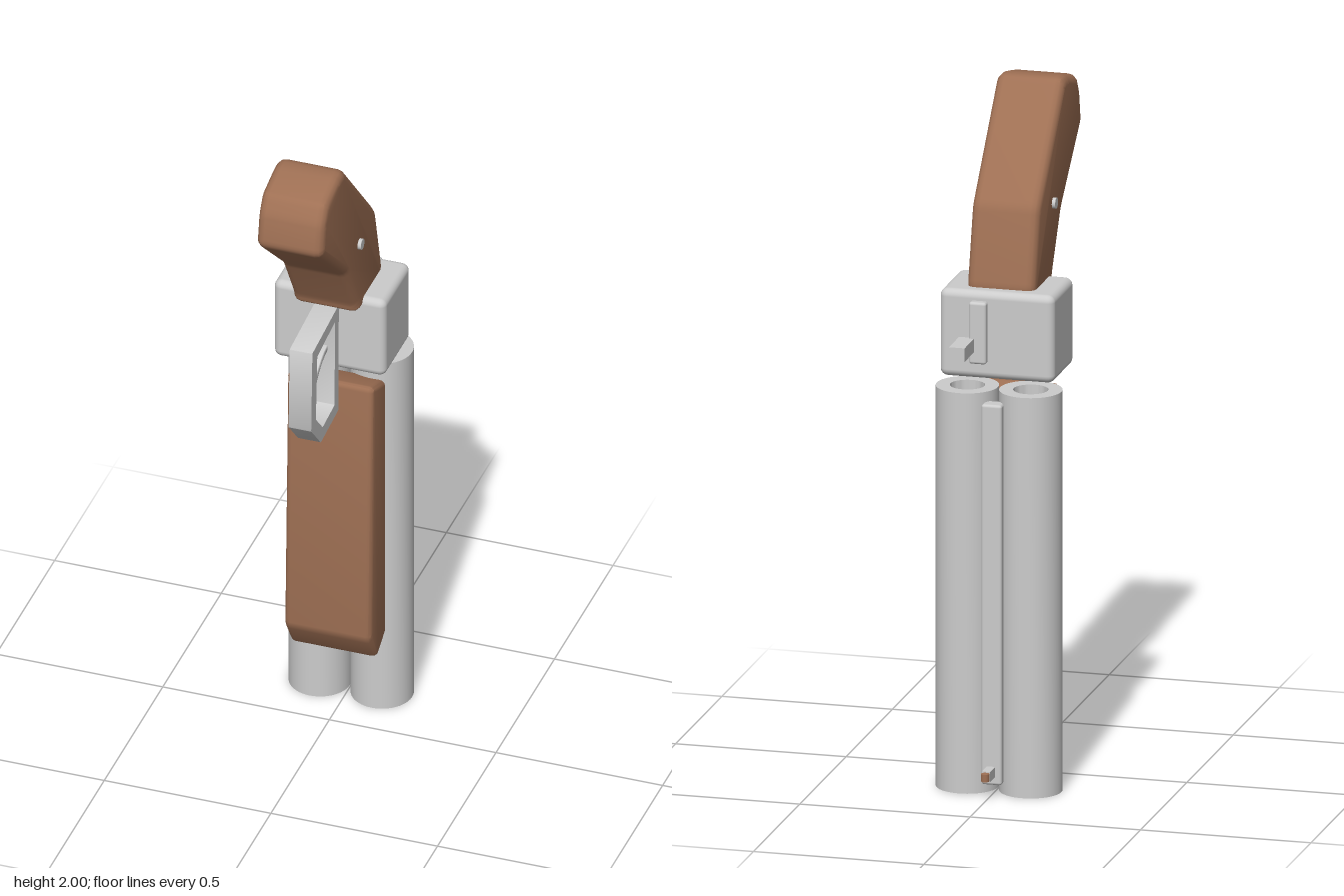
import * as THREE from 'three';
import { toCreasedNormals } from 'three/addons/utils/BufferGeometryUtils.js';
import { RoundedBoxGeometry } from 'three/addons/geometries/RoundedBoxGeometry.js';

const steel = new THREE.MeshStandardMaterial({ color: 0xcccccc });
steel.name = 'steel';
const wood = new THREE.MeshStandardMaterial({ color: 0x9f7054 });
wood.name = 'wood';

// Closed outline of [z, y] corners, each softened by a small curve
function trace(path, points, r) {
  const pts = points.map(([z, y]) => new THREE.Vector2(z, y));
  const n = pts.length;
  pts.forEach((p, i) => {
    const toward = (q) => p.clone().add(q.clone().sub(p).setLength(Math.min(r, q.distanceTo(p) * 0.45)));
    const a = toward(pts[(i + n - 1) % n]);
    const b = toward(pts[(i + 1) % n]);
    if (i === 0) path.moveTo(a.x, a.y);
    else path.lineTo(a.x, a.y);
    path.quadraticCurveTo(p.x, p.y, b.x, b.y);
  });
  path.closePath();
  return path;
}

// Side profile in (z, y), extruded across x and centred on x = 0
function profile(points, width, bevel, round, hole) {
  const shape = trace(new THREE.Shape(), points, round);
  if (hole) shape.holes.push(trace(new THREE.Path(), hole, round));
  const depth = width - 2 * bevel;
  const geo = new THREE.ExtrudeGeometry(shape, {
    depth, curveSegments: 4, bevelEnabled: bevel > 0,
    bevelSize: bevel, bevelThickness: bevel, bevelOffset: -bevel, bevelSegments: 3,
  });
  geo.translate(0, 0, -depth / 2).rotateY(-Math.PI / 2);
  return toCreasedNormals(geo, 0.55);
}

export function createModel() {
  const model = new THREE.Group();
  const add = (name, geo, mat, x = 0, y = 0, z = 0) => {
    const mesh = new THREE.Mesh(geo, mat);
    mesh.name = name;
    mesh.position.set(x, y, z);
    model.add(mesh);
    return mesh;
  };
  // Box given by its limits, with optional rounded edges
  const box = (name, [x0, x1], [y0, y1], [z0, z1], r = 0) => {
    const size = [x1 - x0, y1 - y0, z1 - z0];
    const geo = r ? new RoundedBoxGeometry(...size, 3, r) : new THREE.BoxGeometry(...size);
    return add(name, geo, steel, (x0 + x1) / 2, (y0 + y1) / 2, (z0 + z1) / 2);
  };

  // Pair of hollow barrels
  const ring = [[0.05, 0], [0.09, 0], [0.09, 1.18], [0.05, 1.18], [0.05, 0]];
  const tube = toCreasedNormals(
    new THREE.LatheGeometry(ring.map(([r, y]) => new THREE.Vector2(r, y)), 48), 0.5);
  add('leftBarrel', tube, steel, 0.093, 0, -0.187);
  add('rightBarrel', tube, steel, -0.093, 0, -0.187);

  // Rib between the barrels, with the sight and its bead
  box('barrelRib', [-0.03, 0.03], [0.03, 1.15], [-0.273, -0.225], 0.008);
  box('sightPost', [-0.012, 0.012], [0.055, 0.085], [-0.327, -0.265]);
  add('sightBead', new THREE.CylinderGeometry(0.012, 0.012, 0.022, 20), wood, 0, 0.071, -0.338);

  // Receiver block and opening lever
  box('receiver', [-0.168, 0.168], [1.208, 1.466], [-0.218, 0.005], 0.022);
  box('leverPlate', [0.022, 0.073], [1.26, 1.442], [-0.25, -0.222], 0.008);
  box('lever', [0.057, 0.103], [1.295, 1.335], [-0.35, -0.24]);

  // Wooden grip
  add('grip', profile([
    [0.03, 1.43], [-0.165, 1.43], [-0.18, 1.465], [-0.122, 1.695], [0.148, 2.0], [0.19, 2.002],
    [0.3, 1.975], [0.333, 1.92], [0.35, 1.825], [0.132, 1.625], [0.035, 1.455],
  ], 0.2, 0.025, 0.02), wood);

  // Pin through the grip
  add('gripPin', new THREE.CylinderGeometry(0.016, 0.016, 0.22, 20).rotateZ(Math.PI / 2), steel, 0, 1.67, 0.029);

  // Wooden fore-end
  add('foreEnd', profile([
    [-0.006, 1.158], [-0.13, 1.115], [-0.13, 0.265], [-0.04, 0.212], [0.02, 0.31],
  ], 0.26, 0.016, 0.02), wood);

  // Trigger guard frame
  add('triggerGuard', profile(
    [[0.242, 1.415], [0.016, 1.438], [0.02, 1.08], [0.17, 1.065], [0.252, 1.155]],
    0.068, 0, 0.004,
    [[0.2, 1.378], [0.048, 1.4], [0.053, 1.118], [0.154, 1.107], [0.212, 1.17]]), steel);

  // Curved trigger
  add('trigger', profile([
    [0.04, 1.318], [0.09, 1.307], [0.135, 1.28], [0.168, 1.238],
    [0.153, 1.23], [0.122, 1.265], [0.085, 1.288], [0.04, 1.298],
  ], 0.024, 0.004, 0.015), steel);

  return model;
}
